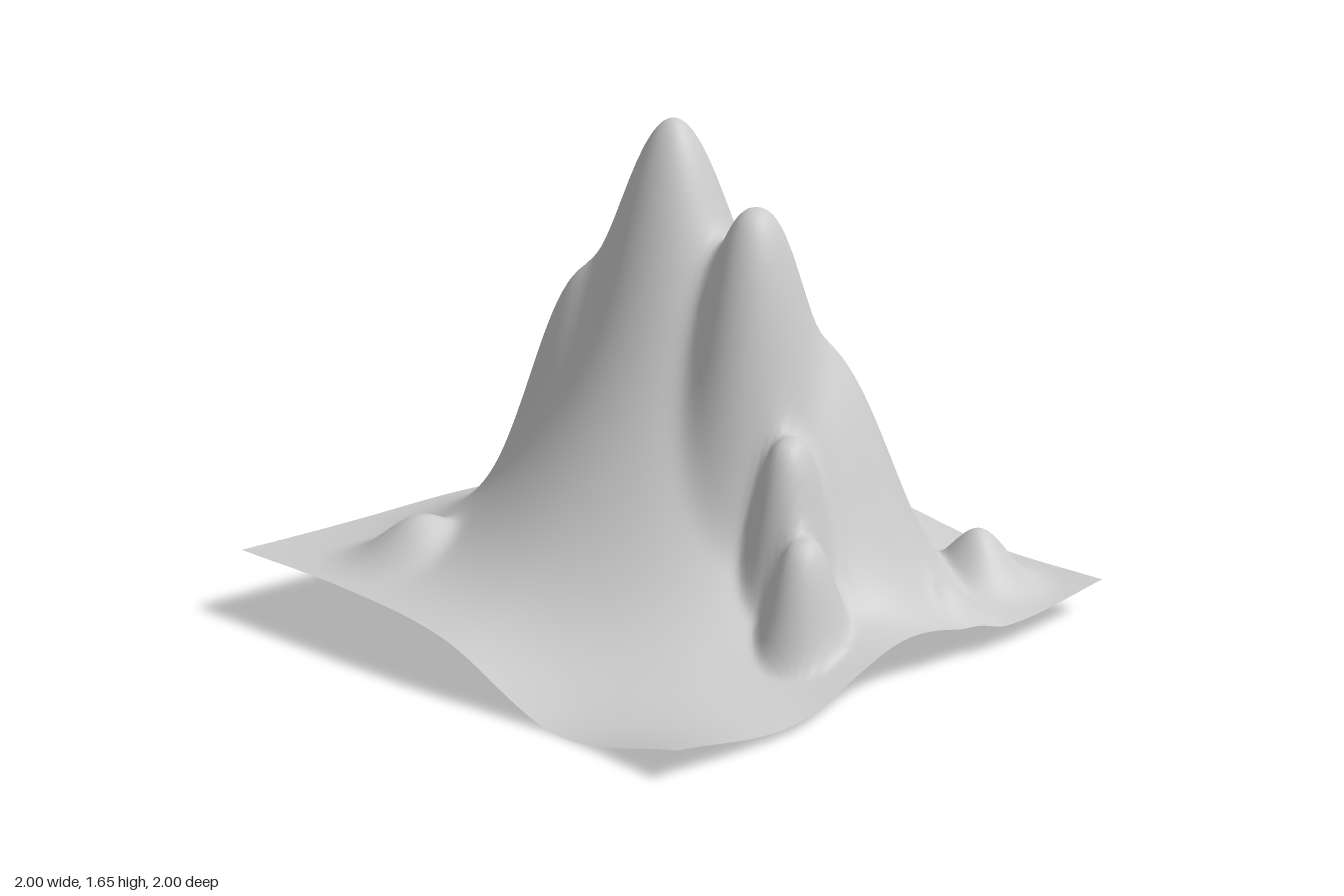
import * as THREE from 'three';

// Ground level under the mountain: rows run back to front, columns run -x to +x
const GROUND = [
  [0.25, 0.24, 0.23, 0.20, 0.03],
  [0.24, 0.25, 0.25, 0.25, 0.26],
  [0.18, 0.22, 0.25, 0.25, 0.22],
  [0.02, 0.10, 0.20, 0.18, 0.15],
  [0.12, 0.05, 0.17, 0.10, 0.14],
];

// Summits and hills: x, z, height above ground, width in x, width in z, steepness
const PEAKS = [
  [0, 0, 1.39, 0.345, 0.345, 2],        // main summit
  [0, 0.02, 1.04, 0.5, 0.5, 2],         // broad body
  [0, 0.36, 1.2, 0.28, 0.22, 2.5],      // front summit
  [0.15, 0.35, 0.8, 0.4, 0.4, 3],       // front shoulder
  [0.36, 0.18, 0.82, 0.16, 0.2, 2.5],   // side knobs
  [0.35, -0.13, 0.8, 0.14, 0.14, 2.5],
  [-0.16, -0.26, 0.88, 0.24, 0.26, 2],  // back knob
  [-0.13, 0.62, 0.59, 0.16, 0.13, 3],   // front ledges
  [-0.22, 0.76, 0.36, 0.14, 0.11, 3],
  [0.58, -0.45, 0.36, 0.24, 0.27, 2],   // foothills
  [0.58, 0.43, 0.25, 0.13, 0.13, 2],
  [0.7, 0.72, 0.18, 0.13, 0.13, 2],
  [0.35, 0.85, 0.12, 0.12, 0.12, 2],
  [-0.66, -0.48, 0.16, 0.18, 0.18, 2],
];

// Smooth curve through five evenly spaced values, t from -1 to 1
function smooth(values, t) {
  const u = (t + 1) * 2;
  const i = Math.min(3, Math.max(0, Math.floor(u)));
  const f = u - i;
  const b = values[i], c = values[i + 1];
  const a = i > 0 ? values[i - 1] : 2 * b - c;
  const d = i < 3 ? values[i + 2] : 2 * c - b;
  return b + 0.5 * f * (c - a + f * (2 * a - 5 * b + 4 * c - d + f * (3 * (b - c) + d - a)));
}

// Soft maximum of all the bells, laid on the ground
function heightAt(x, z) {
  let sum = 0;
  for (const [px, pz, h, wx, wz, k] of PEAKS) {
    const r = Math.hypot((x - px) / wx, (z - pz) / wz);
    sum += Math.pow(h * Math.exp(-Math.pow(r, k)), 6);
  }
  const ground = smooth(GROUND.map((row) => smooth(row, x)), z);
  return ground + Math.pow(sum, 1 / 6);
}

export function createModel() {
  const group = new THREE.Group();
  group.name = 'mountainTerrain';

  // Open sheet of land raised by the height rule
  const geometry = new THREE.PlaneGeometry(2, 2, 110, 110);
  geometry.rotateX(-Math.PI / 2);
  const pos = geometry.attributes.position;
  for (let i = 0; i < pos.count; i++) {
    pos.setY(i, heightAt(pos.getX(i), pos.getZ(i)));
  }
  geometry.computeBoundingBox();
  geometry.translate(0, -geometry.boundingBox.min.y, 0);
  geometry.computeVertexNormals();

  const mountain = new THREE.Mesh(
    geometry,
    new THREE.MeshStandardMaterial({ color: 0xcccccc, side: THREE.DoubleSide })
  );
  mountain.name = 'mountain';
  group.add(mountain);
  return group;
}
